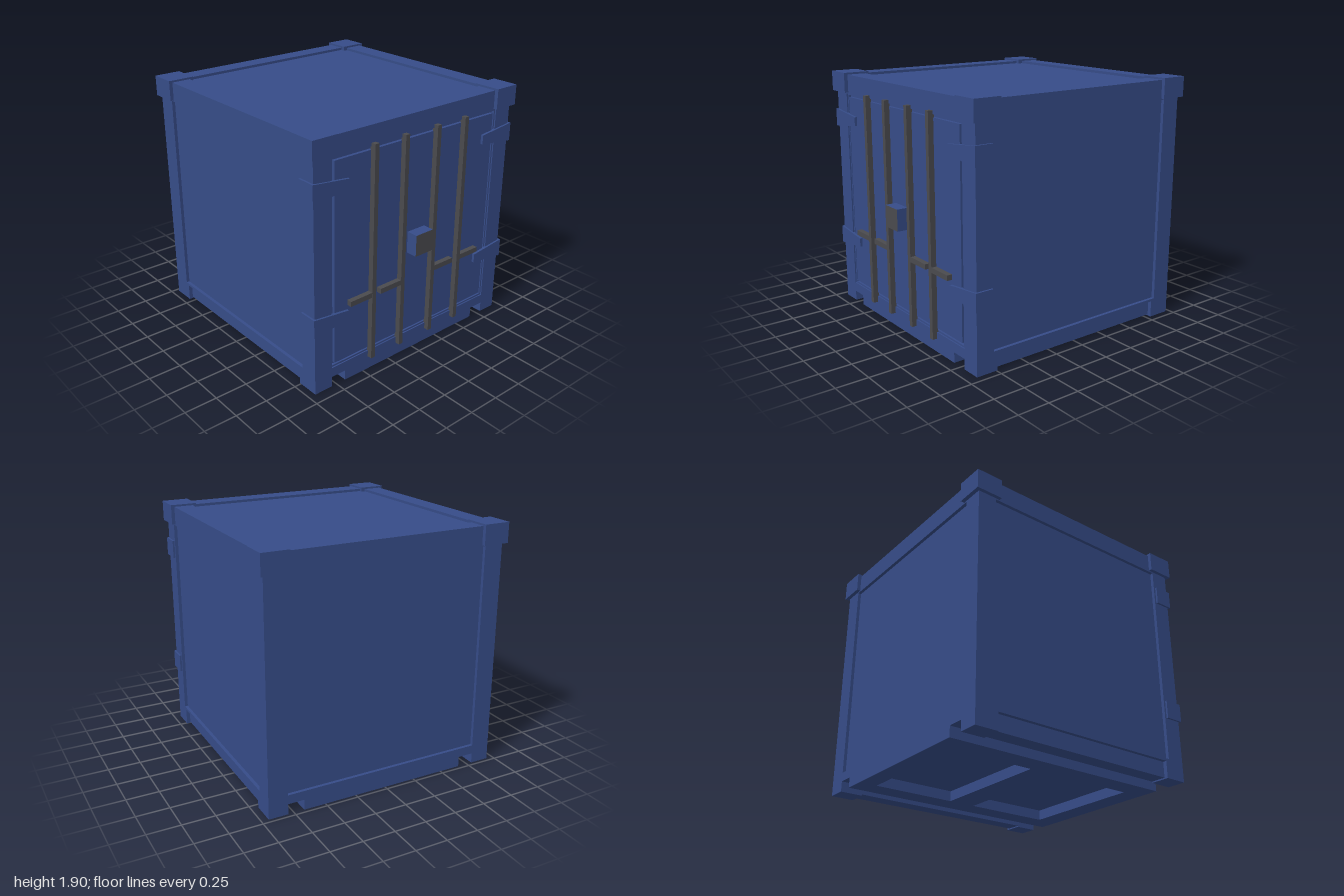
import * as THREE from 'three';

export function createModel() {
  const model = new THREE.Group();
  const blue = new THREE.MeshStandardMaterial({ name: 'containerBlue', color: 0x364c88 });
  const grey = new THREE.MeshStandardMaterial({ name: 'steelGrey', color: 0x4a4a4e });

  const add = (name, geo, mat = blue) => {
    const mesh = new THREE.Mesh(geo, mat);
    mesh.name = name;
    model.add(mesh);
    return mesh;
  };
  // Box given by its lower and upper limit on each axis
  const box = (name, x0, x1, y0, y1, z0, z1, mat) => {
    const geo = new THREE.BoxGeometry(x1 - x0, y1 - y0, z1 - z0);
    geo.translate((x0 + x1) / 2, (y0 + y1) / 2, (z0 + z1) / 2);
    return add(name, geo, mat);
  };
  // The same box on both sides of x = 0
  const pair = (name, x0, x1, ...rest) => {
    box(name + 'Left', x0, x1, ...rest);
    box(name + 'Right', -x1, -x0, ...rest);
  };

  // Recessed wall and roof panels
  box('body', -0.92, 0.92, 0.13, 1.87, -0.945, 0.885);

  // Corner posts and cap blocks
  for (const [end, z0, z1, c0, c1] of [
    ['front', 0.77, 0.915, 0.73, 0.945],
    ['back', -0.97, -0.82, -1, -0.79],
  ]) {
    pair(end + 'Post', 0.795, 0.945, 0, 1.76, z0, z1);
    pair(end + 'Cap', 0.765, 0.972, 1.75, 1.905, c0, c1);
  }

  // Top rails
  pair('topSideRail', 0.795, 0.945, 1.74, 1.89, -0.97, 0.915);
  box('topFrontRail', -0.795, 0.795, 1.74, 1.89, 0.76, 0.915);
  box('topBackRail', -0.795, 0.795, 1.74, 1.89, -0.97, -0.83);

  // Sills and set-back lower side rails
  box('frontSill', -0.795, 0.795, 0.08, 0.155, 0.76, 0.915);
  box('backSill', -0.795, 0.795, 0.08, 0.15, -0.97, -0.82);
  pair('sideSill', 0.795, 0.945, 0.13, 0.15, -0.82, 0.77);
  pair('lowerSideRail', 0.795, 0.915, 0.01, 0.13, -0.82, 0.77);
  pair('footFront', 0.795, 0.945, 0, 0.13, 0.74, 0.77);
  pair('footBack', 0.795, 0.945, 0, 0.13, -0.82, -0.79);

  // Floor slab roofing the two fork channels
  box('floor', -0.8, 0.8, 0.08, 0.14, -0.945, 0.885);

  // Base between the channels, with two shallow pockets underneath
  const rect = (Type, x0, x1, y0, y1) => new Type([
    new THREE.Vector2(x0, y0), new THREE.Vector2(x1, y0),
    new THREE.Vector2(x1, y1), new THREE.Vector2(x0, y1),
  ]);
  const base = rect(THREE.Shape, -0.67, 0.67, -0.915, 0.97);
  base.holes.push(rect(THREE.Path, -0.5, 0.5, -0.74, -0.05));
  base.holes.push(rect(THREE.Path, -0.5, 0.5, 0.17, 0.83));
  const baseGeo = new THREE.ExtrudeGeometry(base, { depth: 0.08, bevelEnabled: false });
  add('base', baseGeo.rotateX(-Math.PI / 2));

  // Door leaf with a stepped groove around it
  box('door', -0.765, 0.765, 0.185, 1.715, 0.88, 0.91);
  pair('doorFrameSide', 0.783, 0.797, 0.155, 1.74, 0.88, 0.905);
  box('doorFrameTop', -0.785, 0.785, 1.73, 1.742, 0.88, 0.905);
  box('doorFrameBottom', -0.785, 0.785, 0.153, 0.168, 0.88, 0.905);

  // Hinges: tapered strap on the front, plate wrapped round the side
  for (const y of [0.545, 1.535]) {
    for (const s of [-1, 1]) {
      const pts = [[0.65, -0.035], [0.96, -0.07], [0.96, 0.07], [0.65, 0.035]];
      const strap = new THREE.Shape(pts.map(([x, h]) => new THREE.Vector2(s * x, y + h)));
      const geo = new THREE.ExtrudeGeometry(strap, { depth: 0.025, bevelEnabled: false });
      add('hingeStrap', geo.translate(0, 0, 0.905));
    }
    pair('hingePlate', 0.94, 0.96, y - 0.07, y + 0.07, 0.785, 0.93);
  }

  // Locking bars, each with a handle pointing left or right
  for (const [x, dir] of [[-0.435, -1], [-0.155, -1], [0.153, 1], [0.435, 1]]) {
    box('lockingBar', x - 0.018, x + 0.018, 0.105, 1.765, 0.905, 0.952, grey);
    const tip = x + dir * 0.215;
    box('barHandle', Math.min(x, tip), Math.max(x, tip), 0.615, 0.655, 0.905, 0.95, grey);
  }

  // Lock box with a grey face
  box('lockBox', -0.083, 0.083, 0.835, 1.002, 0.9, 1, [blue, blue, blue, blue, grey, blue]);

  return model;
}
